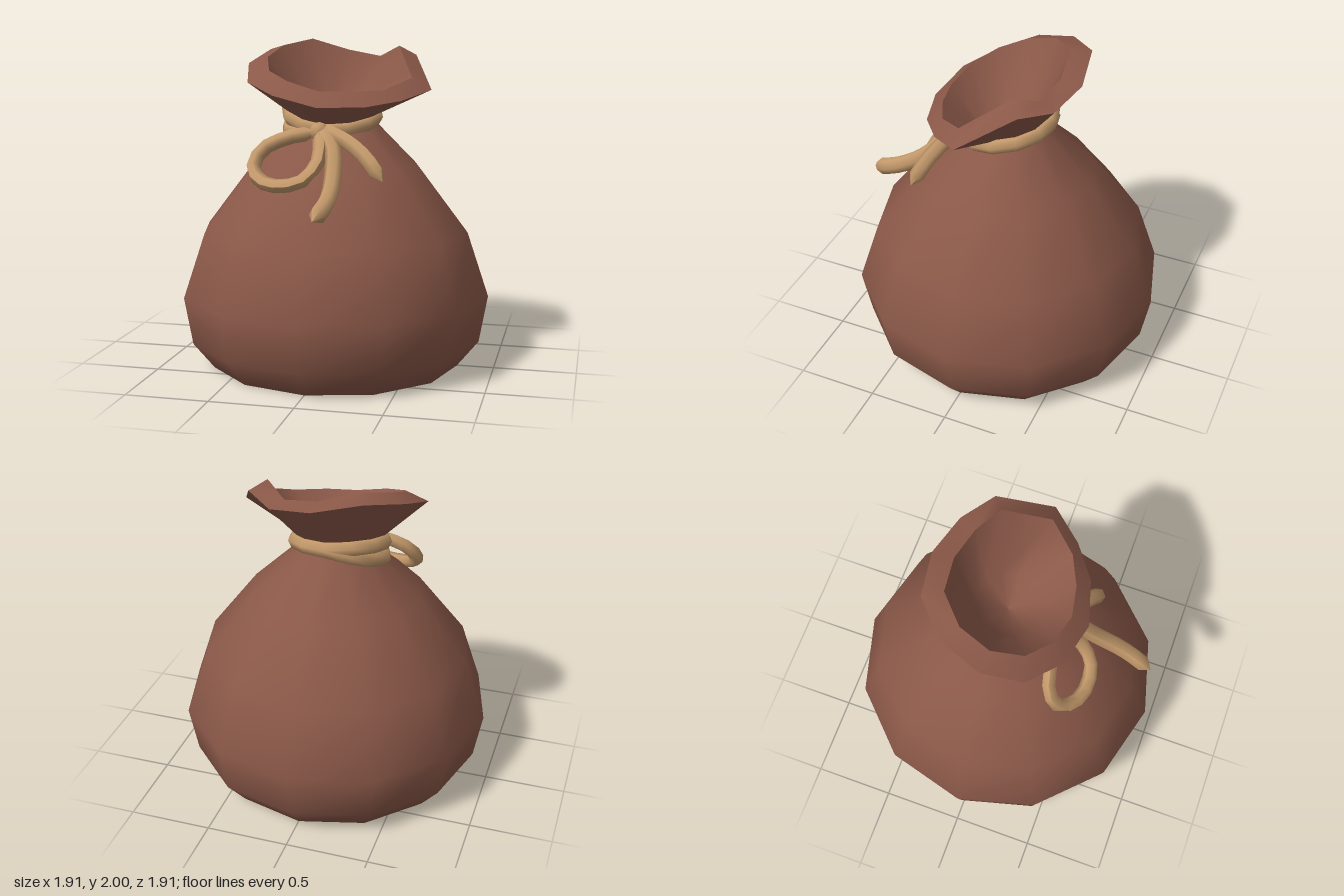
import * as THREE from 'three';

const SIDES = 12;
const V = (x, y, z) => new THREE.Vector3(x, y, z);

// Round ring of points; tilt lowers its front and raises its back
function ring(radius, y, tilt = 0) {
  return Array.from({ length: SIDES }, (_, k) => {
    const a = (k / SIDES) * Math.PI * 2;
    const z = Math.sin(a) * radius;
    return [Math.cos(a) * radius, y - tilt * z, z];
  });
}

// Smooth skin over a list of rings
function loft(rings) {
  const index = [];
  for (let i = 0; i < rings.length - 1; i++) {
    for (let k = 0; k < SIDES; k++) {
      const n = (k + 1) % SIDES;
      const a = i * SIDES + k, b = i * SIDES + n;
      const c = a + SIDES, d = b + SIDES;
      index.push(a, c, b, b, c, d);
    }
  }
  const g = new THREE.BufferGeometry();
  g.setAttribute('position', new THREE.Float32BufferAttribute(rings.flat(2), 3));
  g.setIndex(index);
  g.computeVertexNormals();
  return g;
}

// Rope along a curve; open ropes are closed by drawing in the end rings
function rope(points, radius, segments, closed = false) {
  const curve = new THREE.CatmullRomCurve3(points, closed);
  const g = new THREE.TubeGeometry(curve, segments, radius, 6, closed);
  if (!closed) {
    const p = g.attributes.position;
    for (const [row, t] of [[0, 0], [segments, 1]]) {
      const c = curve.getPointAt(t);
      for (let j = 0; j <= 6; j++) p.setXYZ(row * 7 + j, c.x, c.y, c.z);
    }
    g.computeVertexNormals();
  }
  return g;
}

export function createModel() {
  const group = new THREE.Group();
  const cloth = new THREE.MeshStandardMaterial({ name: 'brown cloth', color: 0x8a5848 });
  const cord = new THREE.MeshStandardMaterial({ name: 'tan cord', color: 0xc2986a });
  const add = (name, geometry, material) => {
    const mesh = new THREE.Mesh(geometry, material);
    mesh.name = name;
    group.add(mesh);
  };

  // Sack body, from the middle of the base up to the tilted neck
  const neck = ring(0.23, 1.55, 0.28);
  add('sackBody', loft([
    ring(0, 0), ring(0.775, 0), ring(0.905, 0.16), ring(0.957, 0.45),
    ring(0.825, 0.84), ring(0.525, 1.23), ring(0.25, 1.49, 0.12), neck,
  ]), cloth);

  // Uneven mouth: outer and inner edge of the thick rim
  const outer = [
    [0.605, 1.705, 0.077], [0.456, 1.65, 0.267], [0.27, 1.62, 0.41], [0, 1.618, 0.487],
    [-0.277, 1.68, 0.43], [-0.477, 1.745, 0.267], [-0.54, 1.85, 0.036], [-0.47, 1.93, -0.215],
    [-0.277, 1.975, -0.4], [0.015, 1.91, -0.45], [0.28, 1.87, -0.385], [0.46, 1.9, -0.24],
  ];
  const inner = [
    [0.49, 1.775, 0.097], [0.35, 1.71, 0.267], [0.174, 1.705, 0.35], [-0.01, 1.705, 0.385],
    [-0.21, 1.76, 0.34], [-0.354, 1.815, 0.226], [-0.415, 1.89, 0.046], [-0.364, 1.957, -0.144],
    [-0.215, 1.995, -0.287], [0.015, 1.926, -0.32], [0.226, 1.89, -0.277], [0.364, 1.957, -0.174],
  ];
  add('mouthOutside', loft([neck, outer]), cloth);
  add('mouthRim', loft([outer, inner]), cloth);
  add('mouthInside', loft([inner, ring(0.19, 1.55, 0.28), ring(0, 1.48)]), cloth);

  // Two turns of cord round the neck, parting on one side
  for (const [name, drop] of [['upperNeckCord', 0], ['lowerNeckCord', 0.1]]) {
    const points = Array.from({ length: 12 }, (_, k) => {
      const a = (k / 12) * Math.PI * 2;
      const side = Math.max(0, -Math.cos(a));
      const z = Math.sin(a) * 0.25;
      return V(Math.cos(a) * 0.25 - 0.04 * side, 1.53 - 0.26 * z + 0.04 * side - drop * side, z);
    });
    add(name, rope(points, 0.048, 12, true), cord);
  }

  // Bow loop lying on the front slope
  add('bowLoop', rope([
    V(-0.03, 1.46, 0.3), V(-0.2, 1.43, 0.34), V(-0.35, 1.36, 0.38), V(-0.39, 1.26, 0.45),
    V(-0.32, 1.19, 0.53), V(-0.2, 1.17, 0.57), V(-0.07, 1.2, 0.55), V(0, 1.29, 0.47),
    V(0, 1.38, 0.39), V(-0.03, 1.48, 0.3),
  ], 0.043, 16), cord);

  // Two loose ends
  add('longEnd', rope([
    V(-0.04, 1.48, 0.28), V(0.07, 1.38, 0.38), V(0.11, 1.22, 0.54),
    V(0.12, 1.12, 0.7), V(0.1, 1.06, 0.83), V(0.08, 1.03, 0.9),
  ], 0.052, 12), cord);
  add('shortEnd', rope([
    V(-0.04, 1.48, 0.28), V(0.14, 1.42, 0.35), V(0.28, 1.33, 0.42), V(0.39, 1.2, 0.48),
  ], 0.047, 8), cord);

  // Knot
  const knot = new THREE.SphereGeometry(0.06, 8, 6);
  knot.translate(-0.03, 1.46, 0.29);
  add('knot', knot, cord);

  return group;
}
